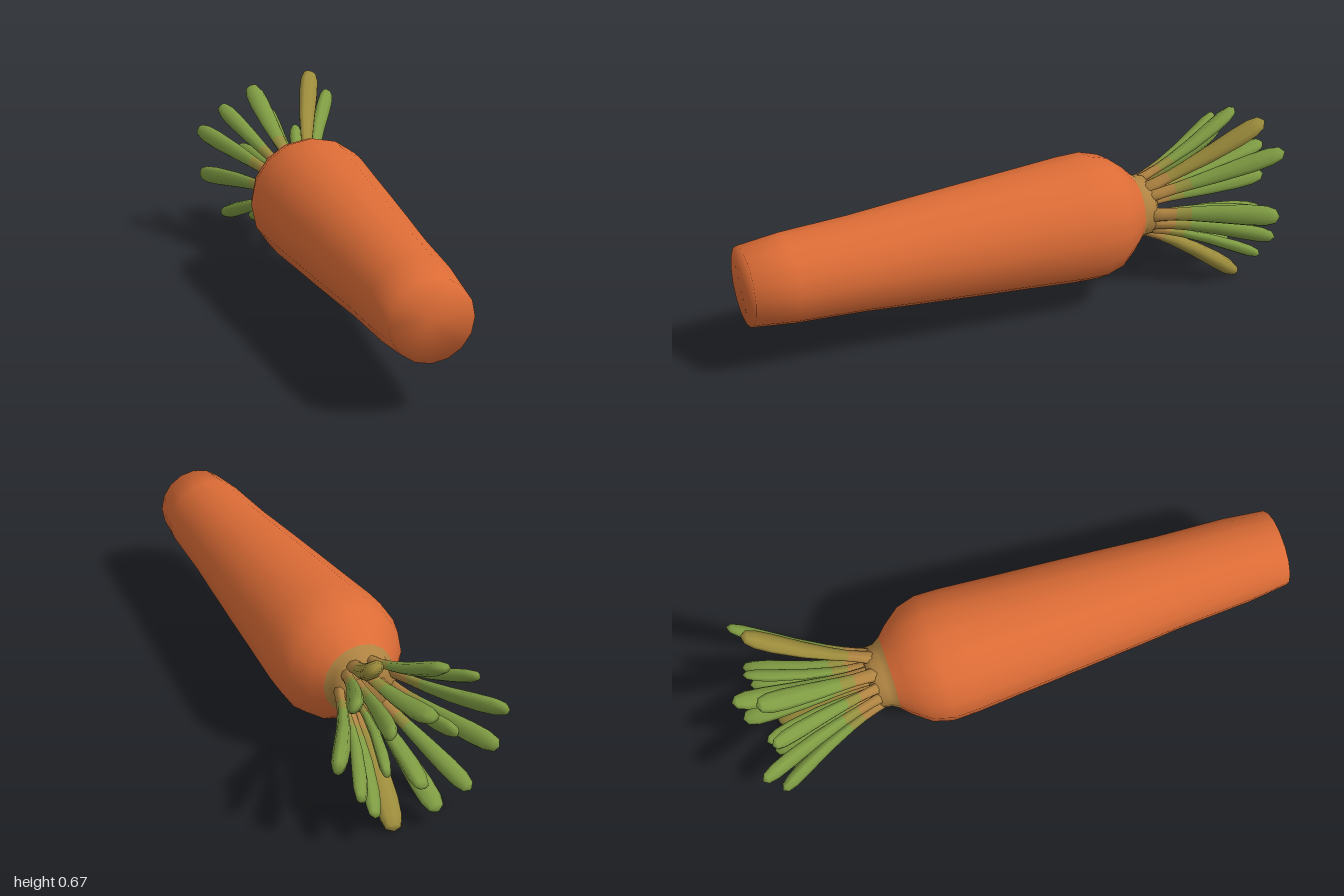
import * as THREE from 'three';

const mat = (name, color) => {
  const m = new THREE.MeshStandardMaterial({ color });
  m.name = name;
  return m;
};

// Closed smooth sweep. Each ring: { c: centre, a: half-size along u, b: half-size along v, m: material index }
function sweep(rings, u, v, sides, start, end) {
  const pos = [], idx = [];
  const geo = new THREE.BufferGeometry();
  const add = (p) => pos.push(p.x, p.y, p.z);
  for (const r of rings) {
    for (let j = 0; j < sides; j++) {
      const t = (j / sides) * Math.PI * 2;
      add(r.c.clone().addScaledVector(u, r.a * Math.cos(t)).addScaledVector(v, r.b * Math.sin(t)));
    }
  }
  add(start);
  add(end);
  const n = rings.length, s = n * sides, e = s + 1;
  const group = (m, build) => {
    const from = idx.length;
    for (let j = 0; j < sides; j++) build(j, (j + 1) % sides);
    geo.addGroup(from, idx.length - from, m);
  };
  group(rings[0].m, (j, k) => idx.push(k, j, s));
  for (let i = 0; i < n - 1; i++) {
    const p = i * sides, q = p + sides;
    group(rings[i].m, (j, k) => idx.push(p + j, p + k, q + k, p + j, q + k, q + j));
  }
  const last = (n - 1) * sides;
  group(rings[n - 1].m, (j, k) => idx.push(last + j, last + k, e));
  geo.setAttribute('position', new THREE.Float32BufferAttribute(pos, 3));
  geo.setIndex(idx);
  geo.computeVertexNormals();
  return geo;
}

export function createModel() {
  const model = new THREE.Group();
  model.name = 'carrot';
  const orange = mat('carrot orange', 0xdc6c36);
  const tan = mat('crown tan', 0xb08442);
  const olive = mat('stem olive', 0x95903f);
  const green = mat('leaf green', 0x7f9c43);
  const yellow = mat('wilted yellow', 0x9c8c3c);
  const cx = -0.015, cy = 0.346;

  // Root: [z, radius] from the cut tip to the crown
  const profile = [
    [1, 0.14], [0.85, 0.157], [0.6, 0.169], [0.4, 0.185], [0.2, 0.2], [0, 0.214], [-0.2, 0.229],
    [-0.29, 0.231], [-0.36, 0.211], [-0.42, 0.165], [-0.455, 0.13], [-0.48, 0.114], [-0.51, 0.112], [-0.53, 0.085],
  ];
  const rootRings = profile.map(([z, r]) => ({ c: new THREE.Vector3(cx, cy, z), a: r, b: r, m: z < -0.45 ? 1 : 0 }));
  const root = new THREE.Mesh(
    sweep(rootRings, new THREE.Vector3(0, 1, 0), new THREE.Vector3(1, 0, 0), 16,
      new THREE.Vector3(cx, cy, 0.995), new THREE.Vector3(cx, cy, -0.535)),
    [orange, tan]);
  root.name = 'root';
  model.add(root);

  // Stems: [tip x, tip y, tip z, base radius, width, wilted]
  const stems = [
    [-0.08, 0.63, -0.92, 0.09, 0.037, 0], [-0.208, 0.562, -0.91, 0.09, 0.031, 0],
    [-0.283, 0.455, -0.98, 0.09, 0.034, 0], [-0.285, 0.285, -0.93, 0.09, 0.038, 0],
    [-0.207, 0.12, -0.9, 0.09, 0.032, 0], [-0.077, 0.086, -0.92, 0.09, 0.038, 0],
    [0.062, 0.023, -0.88, 0.09, 0.045, 1], [0.153, 0.13, -0.92, 0.09, 0.031, 0],
    [0.215, 0.225, -0.94, 0.09, 0.034, 0], [0.284, 0.345, -0.91, 0.09, 0.042, 0],
    [0.243, 0.58, -0.94, 0.09, 0.034, 0], [0.158, 0.675, -0.9, 0.09, 0.04, 1],
    [0.0, 0.51, -1.0, 0.055, 0.038, 0], [0.11, 0.44, -0.94, 0.05, 0.032, 0],
    [-0.13, 0.38, -0.93, 0.05, 0.032, 0], [0.02, 0.25, -0.99, 0.055, 0.036, 0],
    [0.12, 0.29, -0.93, 0.05, 0.03, 0],
  ];
  // [fraction of length, width factor, material index]
  const stations = [
    [0, 0.72, 0], [0.12, 0.62, 0], [0.22, 0.6, 1], [0.34, 0.68, 2], [0.55, 0.86, 2],
    [0.78, 1, 2], [0.9, 0.95, 2], [0.97, 0.68, 2],
  ];
  stems.forEach(([x, y, z, baseR, width, wilted], i) => {
    const radial = new THREE.Vector3(x - cx, y - cy, 0).normalize();
    const base = new THREE.Vector3(cx, cy, -0.49).addScaledVector(radial, baseR);
    const tip = new THREE.Vector3(x, y, z);
    const dir = tip.clone().sub(base).normalize();
    const side = new THREE.Vector3(-radial.y, radial.x, 0);
    const depth = new THREE.Vector3().crossVectors(dir, side);
    const rings = stations.map(([t, f, m]) => ({
      c: base.clone().lerp(tip, t).addScaledVector(radial, -0.018 * Math.sin(Math.PI * t)),
      a: width * f, b: width * f * 0.68, m,
    }));
    const stem = new THREE.Mesh(
      sweep(rings, side, depth, 8, base, tip),
      [tan, wilted ? yellow : olive, wilted ? yellow : green]);
    stem.name = (wilted ? 'wiltedStem' : 'stem') + (i + 1);
    model.add(stem);
  });
  return model;
}
